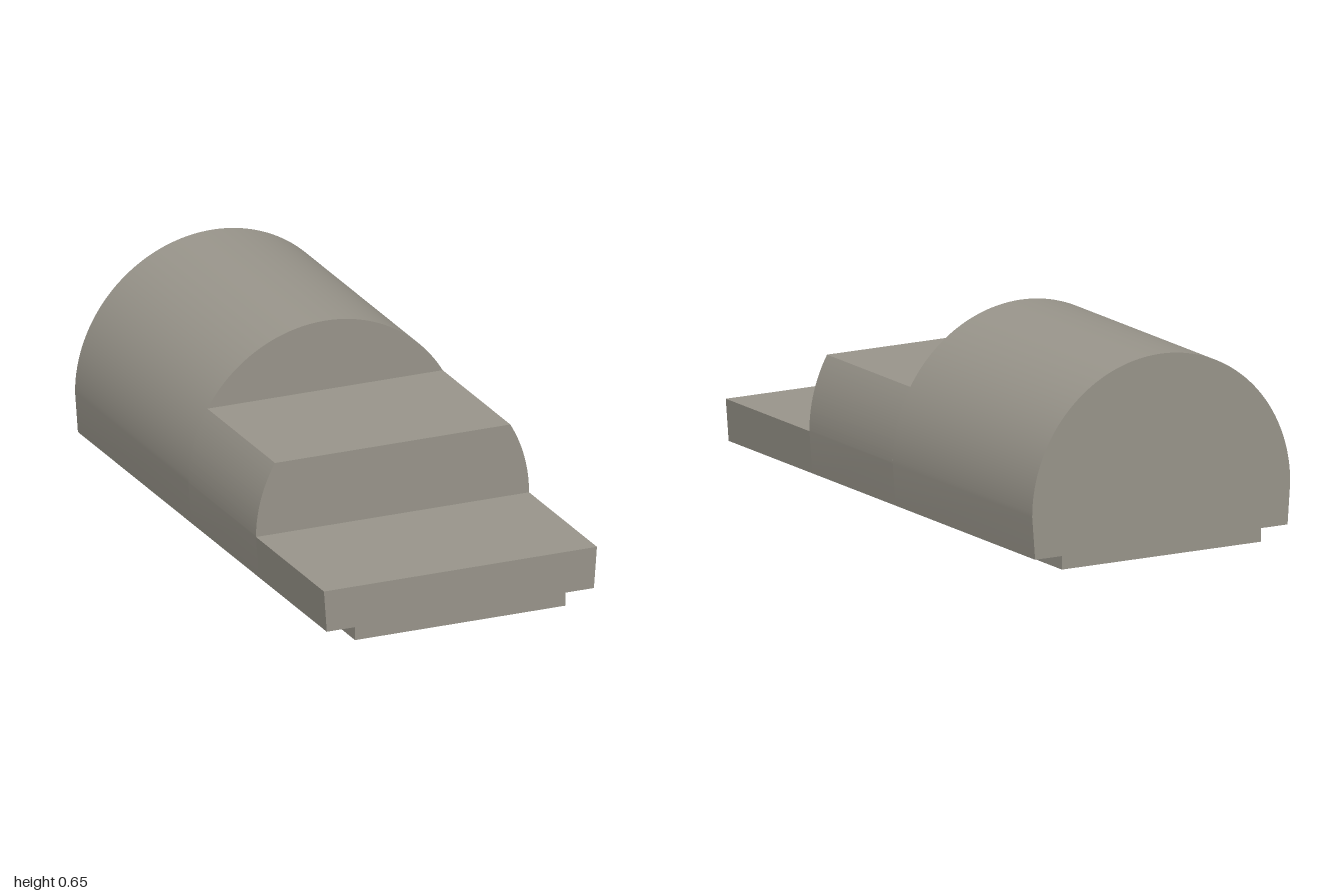
import * as THREE from 'three';
import { toCreasedNormals } from 'three/addons/utils/BufferGeometryUtils.js';

const R = 0.463;        // radius of the rounded top
const CY = 0.178;       // height of its centre
const LEDGE_Y = 0.043;  // underside of the overhang
const LEDGE_X = 0.453;
const BASE_X = 0.357;   // half width of the base strip

// Cross-section of the body, cut flat at height top
function section(top) {
  const s = new THREE.Shape();
  s.moveTo(-BASE_X, 0);
  s.lineTo(BASE_X, 0);
  s.lineTo(BASE_X, LEDGE_Y);
  s.lineTo(LEDGE_X, LEDGE_Y);
  const a0 = Math.asin(Math.min(1, (top - CY) / R));
  const steps = a0 > 0 ? 48 : 0;
  // right flank up to the cut, then the left flank back down
  for (let i = 0; i <= steps; i++) {
    const a = steps ? (a0 * i) / steps : 0;
    s.lineTo(R * Math.cos(a), CY + R * Math.sin(a));
  }
  for (let i = steps; i >= 0; i--) {
    const a = steps ? (a0 * i) / steps : 0;
    if (i === steps && a0 > 1.57) continue;
    s.lineTo(-R * Math.cos(a), CY + R * Math.sin(a));
  }
  s.lineTo(-LEDGE_X, LEDGE_Y);
  s.lineTo(-BASE_X, LEDGE_Y);
  s.closePath();
  return s;
}

export function createModel() {
  const stone = new THREE.MeshStandardMaterial({ color: 0x99958b });
  stone.name = 'warm grey';

  const model = new THREE.Group();
  model.name = 'steppedHalfCylinder';

  // name, back z, front z, height of the flat cut
  const parts = [
    ['roundedBody', -0.927, -0.083, CY + R],
    ['middleStep', -0.083, 0.421, 0.413],
    ['frontStep', 0.421, 0.927, CY],
  ];
  for (const [name, z0, z1, top] of parts) {
    const geo = new THREE.ExtrudeGeometry(section(top), { depth: z1 - z0, bevelEnabled: false });
    geo.translate(0, 0, z0);
    const mesh = new THREE.Mesh(toCreasedNormals(geo, 0.4), stone);
    mesh.name = name;
    model.add(mesh);
  }

  // The block stands turned, with a very slight forward tilt
  model.rotation.order = 'YXZ';
  model.rotation.set(0.0055, -0.191, 0);
  model.position.y = 0.005;

  const root = new THREE.Group();
  root.name = 'model';
  root.add(model);
  return root;
}
